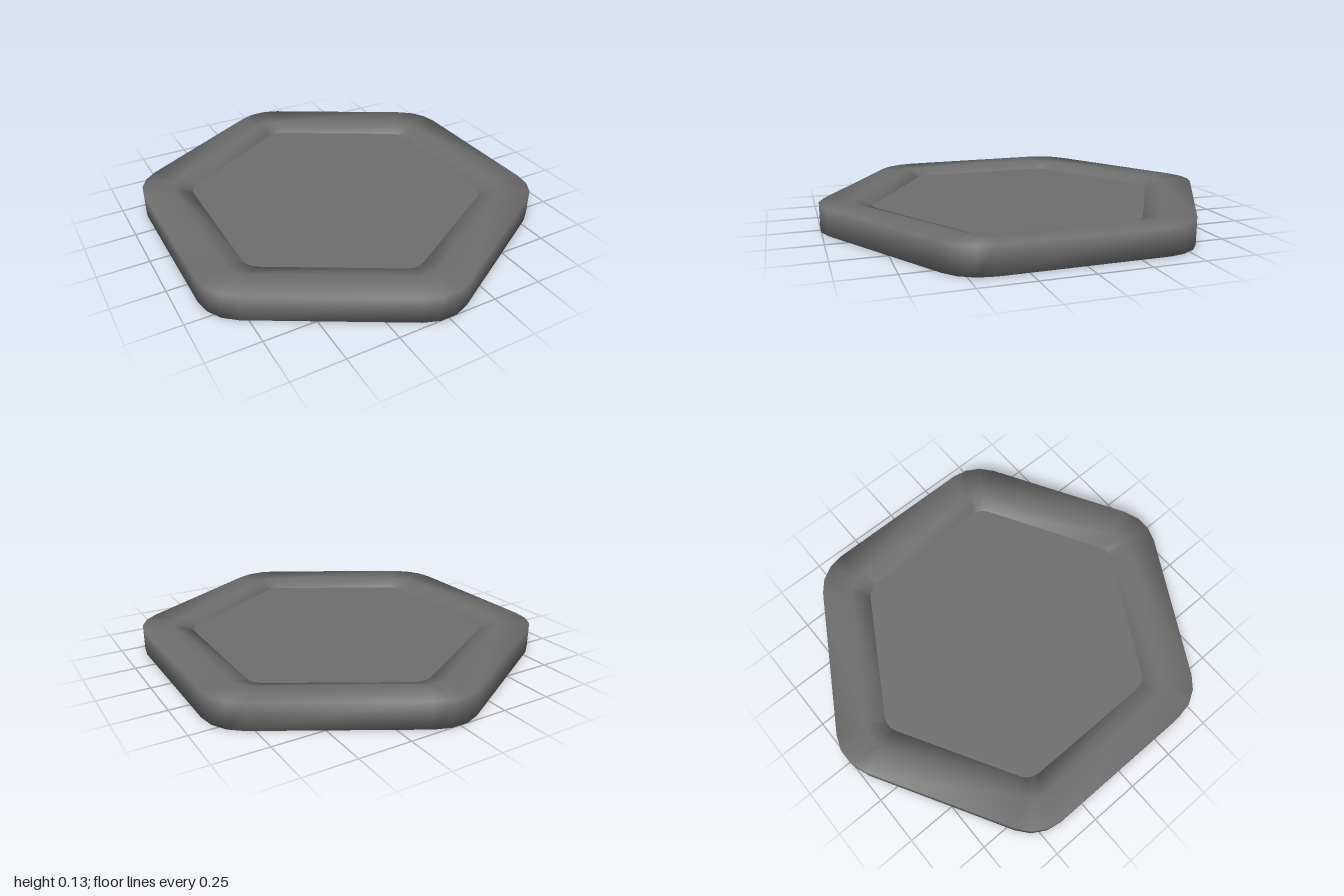
import * as THREE from 'three';

const ARC = 3; // facets per rounded corner

// Rounded hexagon in plan, points towards +z and -z
function outline(apothem, radius) {
  const points = [];
  const reach = (apothem - radius) / Math.cos(Math.PI / 6);
  for (let corner = 0; corner < 6; corner++) {
    const mid = Math.PI / 2 + corner * Math.PI / 3;
    for (let i = 0; i <= ARC; i++) {
      const a = mid + (i / ARC - 0.5) * Math.PI / 3;
      points.push(new THREE.Vector2(
        reach * Math.cos(mid) + radius * Math.cos(a),
        reach * Math.sin(mid) + radius * Math.sin(a)));
    }
  }
  return points;
}

// Padded frame: a closed section swept round the hexagon with soft normals
function frameGeometry() {
  // apothem, corner radius, height
  const section = [
    [0.9, 0.23, 0], [0.9, 0.23, 0.13], [0.75, 0.14, 0.13],
    [0.66, 0.09, 0.1], [0.66, 0.09, 0.03], [0.75, 0.14, 0],
  ];
  const positions = [], index = [];
  const rows = section.length, count = 6 * (ARC + 1);
  for (const [apothem, radius, y] of section) {
    for (const p of outline(apothem, radius)) positions.push(p.x, y, p.y);
  }
  for (let r = 0; r < rows; r++) {
    for (let i = 0; i < count; i++) {
      const j = (i + 1) % count, s = (r + 1) % rows;
      const a = r * count + i, b = r * count + j;
      const c = s * count + j, d = s * count + i;
      index.push(a, d, b, b, d, c);
    }
  }
  const geometry = new THREE.BufferGeometry();
  geometry.setAttribute('position', new THREE.Float32BufferAttribute(positions, 3));
  geometry.setIndex(index);
  geometry.computeVertexNormals();
  return geometry;
}

export function createModel() {
  const group = new THREE.Group();
  group.name = 'hexagonalTile';
  const grey = new THREE.MeshStandardMaterial({ color: 0x6e6e6e });
  grey.name = 'grey';

  const frame = new THREE.Mesh(frameGeometry(), grey);
  frame.name = 'frame';

  // Flat panel slightly recessed on both faces
  const panelGeometry = new THREE.ExtrudeGeometry(
    new THREE.Shape(outline(0.662, 0.09)), { depth: 0.066, bevelEnabled: false });
  panelGeometry.rotateX(-Math.PI / 2).translate(0, 0.032, 0);
  const panel = new THREE.Mesh(panelGeometry, grey);
  panel.name = 'panel';

  group.add(frame, panel);
  return group;
}
